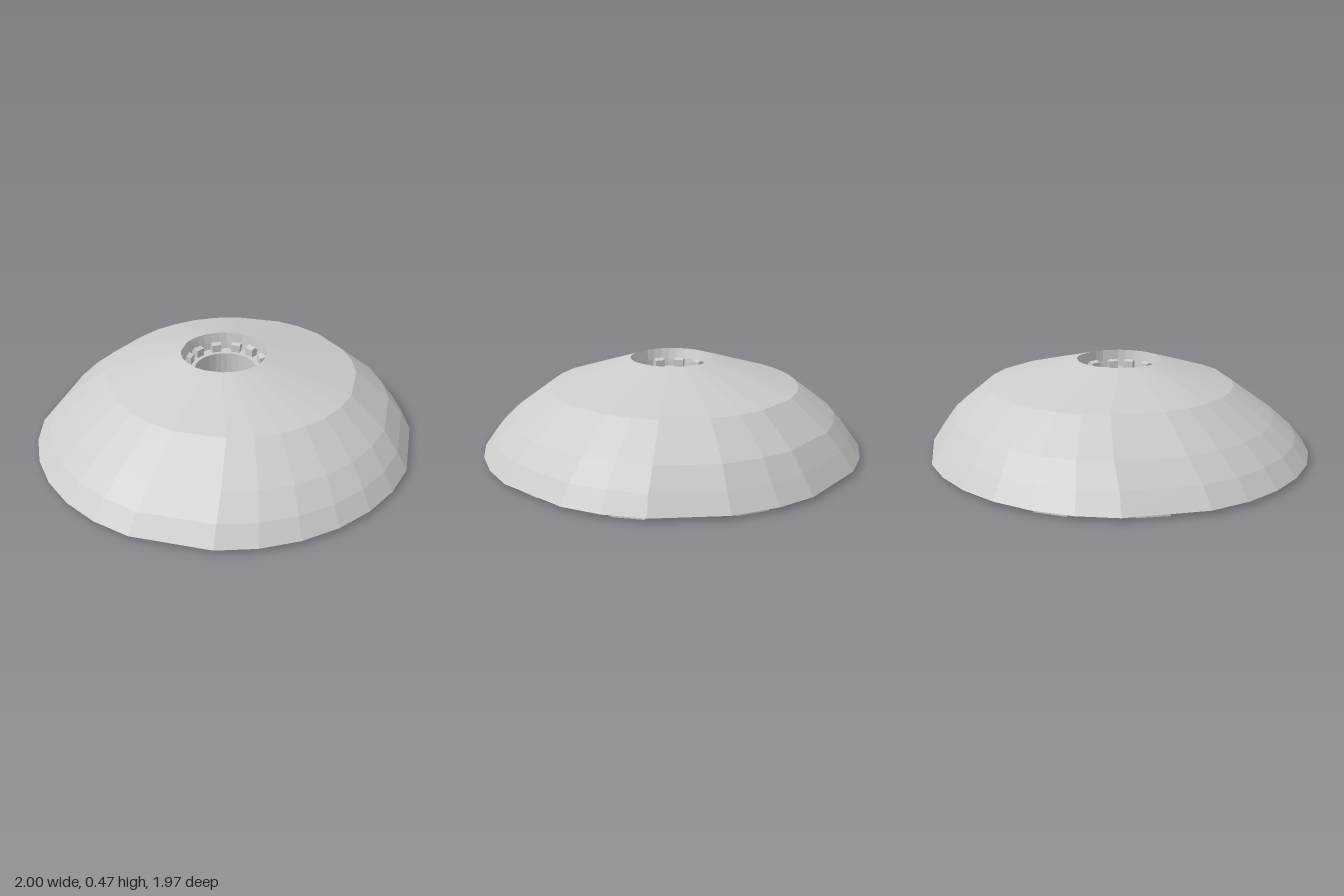
import * as THREE from 'three';

const rad = THREE.MathUtils.degToRad;
const material = new THREE.MeshStandardMaterial({ color: 0xcccccc, flatShading: true, side: THREE.DoubleSide });

// Facet directions: 32 steps with a few wider facets
const angles = [];
for (let i = 0; i < 32; i++) if (![3, 11, 19, 27, 31].includes(i)) angles.push(i === 30 ? 339.5 : i * 11.25);

// Dome rings: [radius, height, centre x, centre z]; the inside has a single bend
const outer = [[0.222, 0.467, -0.007, 0], [0.65, 0.345, 0.045, -0.015], [0.845, 0.2, 0.03, -0.01], [0.935, 0.105, 0.01, 0], [1, 0.018, 0, 0]];
const inner = [[0.982, 0.015, 0, 0], [0.64, 0.322, 0.02, -0.005], [0.25, 0.436, -0.007, 0], [0.21, 0.413, 0, 0]];

// Distance from the axis to a faceted ring in direction a (degrees)
function reach([r, , cx, cz], a) {
  const d = ((a % 360) + 360) % 360;
  let i = angles.length - 1;
  while (angles[i] > d) i--;
  const a0 = angles[i], a1 = angles[i + 1] ?? 360;
  return r * Math.cos(rad((a1 - a0) / 2)) / Math.cos(rad(d - (a0 + a1) / 2)) + cx * Math.cos(rad(a)) + cz * Math.sin(rad(a));
}

// Closed shell: outer surface down, rim, inner surface back up
function shellGeometry() {
  const rings = [...outer, ...inner], n = angles.length, pos = [], index = [];
  for (const [r, y, cx, cz] of rings)
    for (const a of angles) pos.push(cx + r * Math.cos(rad(a)), y, cz + r * Math.sin(rad(a)));
  rings.forEach((_, k) => {
    const next = (k + 1) % rings.length;
    for (let i = 0; i < n; i++) {
      const j = (i + 1) % n;
      const a = k * n + i, b = k * n + j, c = next * n + j, d = next * n + i;
      index.push(a, b, c, a, c, d);
    }
  });
  const g = new THREE.BufferGeometry();
  g.setAttribute('position', new THREE.Float32BufferAttribute(pos, 3));
  g.setIndex(index);
  g.computeVertexNormals();
  return g;
}

// Flat radial plate cut from (radius, height) points, turned to direction a
function radialPlate(name, points, width, a) {
  const shape = new THREE.Shape(points.map(p => new THREE.Vector2(p[0], p[1])));
  const g = new THREE.ExtrudeGeometry(shape, { depth: width, bevelEnabled: false });
  g.translate(0, 0, -width / 2);
  const mesh = new THREE.Mesh(g, material);
  mesh.name = name;
  mesh.rotation.y = -rad(a);
  return mesh;
}

// Band following the inside of the dome between two depths
function band(a, list, near, far) {
  const line = list.map(ring => [reach(ring, a), ring[1]]);
  return [...line.map(([r, y]) => [r - near * 0.6, y - near * 0.8]),
    ...line.reverse().map(([r, y]) => [r - far * 0.6, y - far * 0.8])].map(([r, y]) => [r, Math.max(y, 0)]);
}

export function createModel() {
  const model = new THREE.Group();
  const dome = new THREE.Group();
  dome.name = 'dome';
  dome.scale.z = 0.983;
  model.add(dome);

  const shell = new THREE.Mesh(shellGeometry(), material);
  shell.name = 'shell';
  dome.add(shell);

  // Groups of three spokes per quarter, one spoke left out
  const spokes = [];
  for (const q of [0, 90, 180, 270]) for (const s of [-27, 5, 37]) if (q + s !== 127) spokes.push(q + s);

  // Paired ribs under the dome, closed by a small foot at the rim
  for (const a of spokes) {
    for (const s of [-4.5, 4.5])
      dome.add(radialPlate('rib', band(a + s, inner.slice(0, 3), -0.005, 0.025), 0.016, a + s));
    const r = reach(inner[0], a);
    dome.add(radialPlate('ribFoot', [[r - 0.03, 0], [r - 0.005, 0], [r - 0.005, 0.02], [r - 0.03, 0.03]], 0.15, a));
  }

  // Thin cover plates on the inner wall, just below the bend
  for (const a of [50, 125, 201]) {
    const [p, q] = [inner[0], inner[1]].map(ring => [reach(ring, a), ring[1]]);
    const mid = p.map((v, i) => v + (q[i] - v) * 0.5);
    dome.add(radialPlate('coverPlate', [mid, q, [q[0] - 0.007, q[1] - 0.008], [mid[0] - 0.007, mid[1] - 0.008]], 0.2, a));
  }

  // Central sleeve below the opening, with a collar wall up to the dome
  const profile = [[0.16, 0.21], [0.172, 0.208], [0.24, 0.26], [0.24, 0.43], [0.23, 0.43], [0.22, 0.37], [0.16, 0.37], [0.16, 0.21]];
  const sleeve = new THREE.Mesh(new THREE.LatheGeometry(profile.map(p => new THREE.Vector2(...p)), 32), material);
  sleeve.name = 'sleeve';
  model.add(sleeve);

  // Brackets hanging the sleeve from the dome
  const bracket = [[0.18, 0.215], [0.2, 0.215], [0.31, 0.255], [0.31, 0.42], [0.24, 0.435], [0.21, 0.418], [0.18, 0.41]];
  for (const a of spokes) model.add(radialPlate('bracket', bracket, 0.05, a));

  return model;
}
